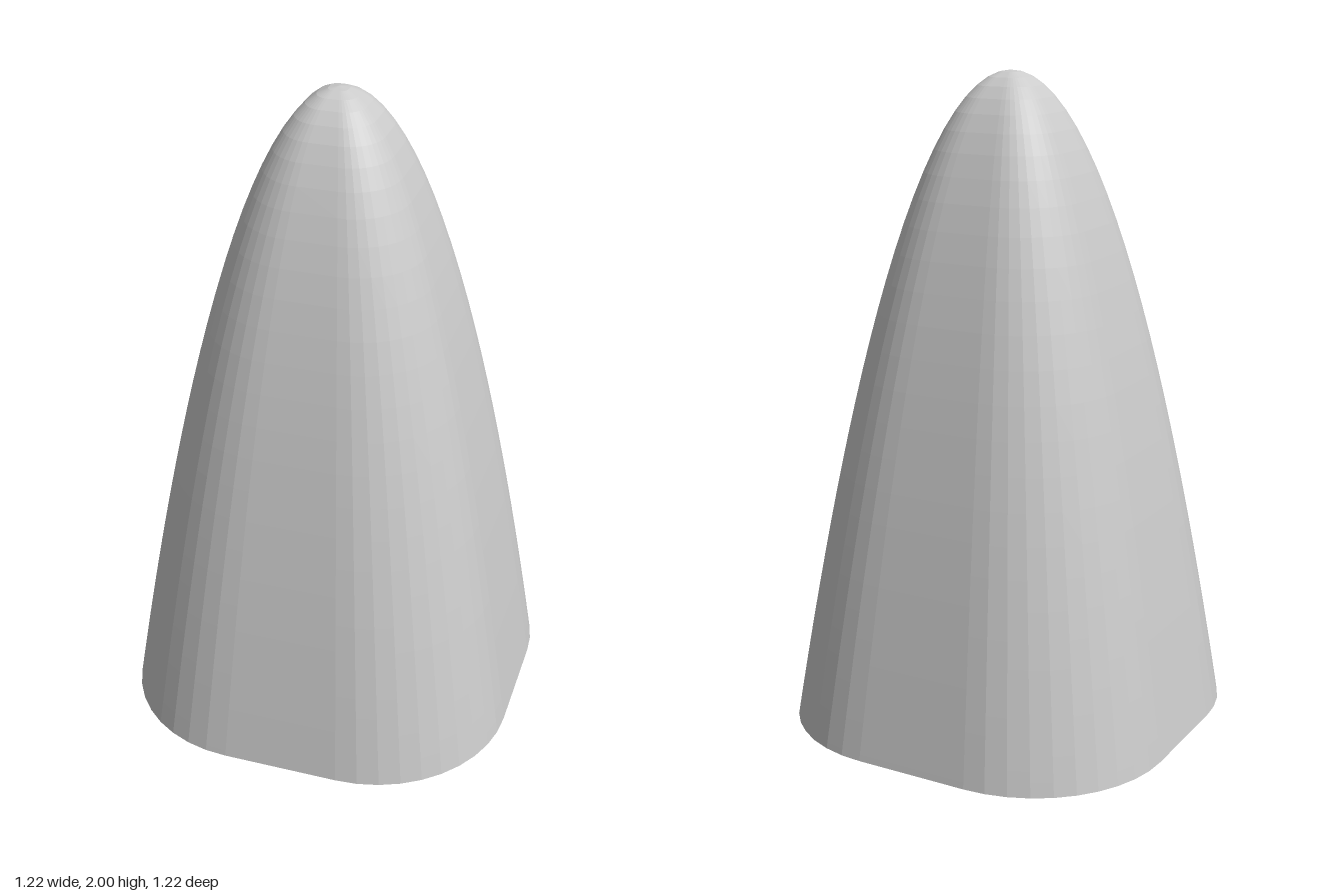
import * as THREE from 'three';

const HEIGHT = 2, HALF_WIDTH = 0.61, CORNER_RADIUS = 0.43;
const RINGS = 32, CORNER_STEPS = 10;

// Unit outline of the rounded square, corner by corner
function outlinePoint(i) {
  const perCorner = CORNER_STEPS + 1;
  const corner = Math.floor(i / perCorner) % 4;
  const angle = (corner + (i % perCorner) / CORNER_STEPS) * Math.PI / 2;
  const middle = (corner + 0.5) * Math.PI / 2;
  const r = CORNER_RADIUS / HALF_WIDTH, flat = 1 - r;
  return [
    flat * Math.sign(Math.sin(middle)) + r * Math.sin(angle),
    flat * Math.sign(Math.cos(middle)) + r * Math.cos(angle),
  ];
}

export function createModel() {
  // Parabolic profile: closed base, then wall up to the tip
  const profile = [new THREE.Vector2(0, 0)];
  for (let j = 0; j <= RINGS; j++) {
    const t = (1 - j / RINGS) * Math.PI / 2;
    profile.push(new THREE.Vector2(HALF_WIDTH * Math.sin(t), HEIGHT * Math.cos(t) ** 2));
  }

  // Turn the profile, then reshape each ring into a rounded square
  const turned = new THREE.LatheGeometry(profile, 4 * (CORNER_STEPS + 1));
  const pos = turned.attributes.position;
  for (let v = 0; v < pos.count; v++) {
    const [x, z] = outlinePoint(Math.floor(v / profile.length));
    const p = profile[v % profile.length];
    pos.setXYZ(v, p.x * x, p.y, p.x * z);
  }
  const geometry = turned.toNonIndexed();
  geometry.computeVertexNormals();

  const dome = new THREE.Mesh(
    geometry,
    new THREE.MeshStandardMaterial({ color: 0xcccccc, flatShading: true })
  );
  dome.name = 'paraboloidDome';

  const model = new THREE.Group();
  model.name = 'roundedSquareParaboloid';
  model.add(dome);
  return model;
}
